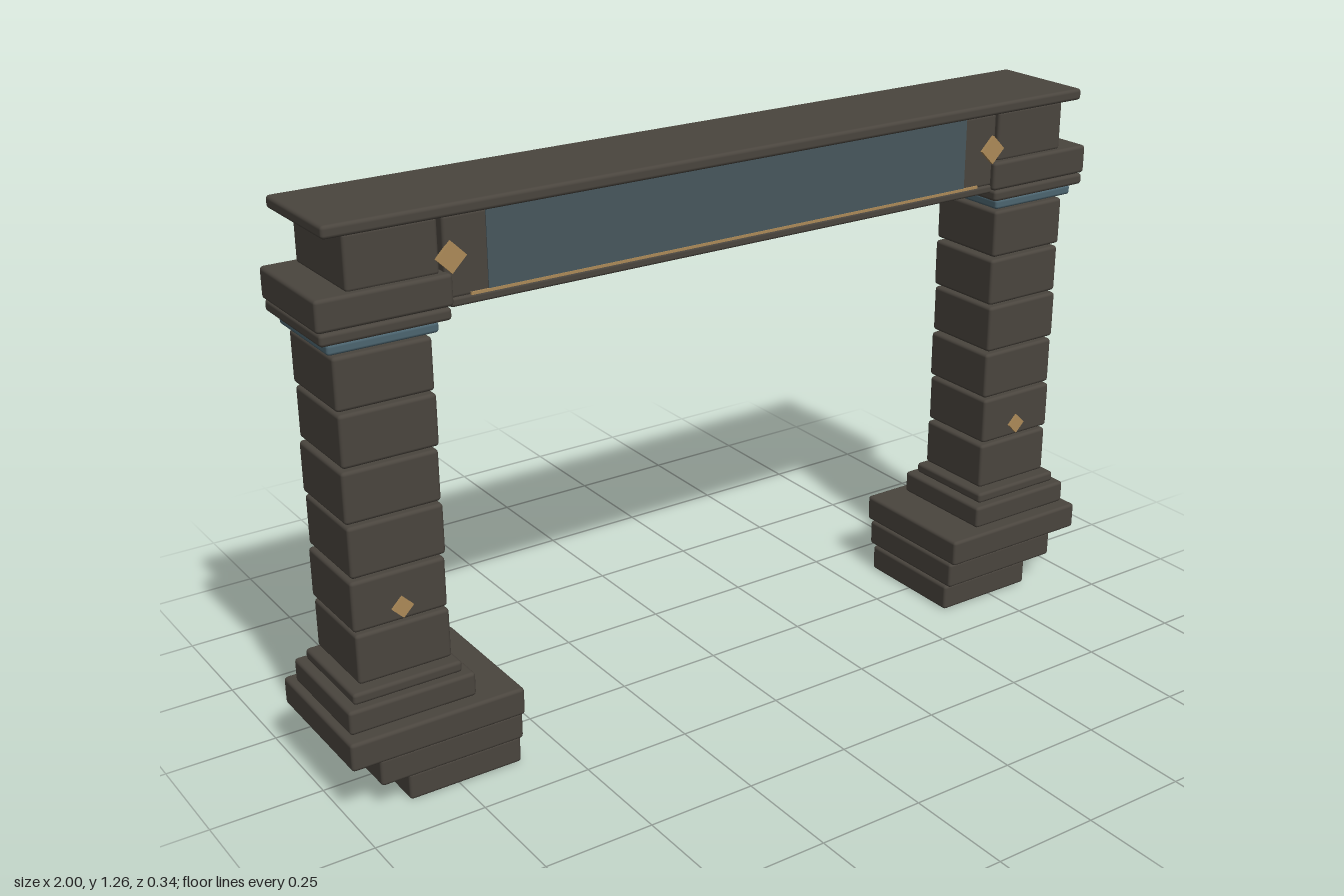
import * as THREE from 'three';
import { RoundedBoxGeometry } from 'three/addons/geometries/RoundedBoxGeometry.js';

const material = (name, color) => {
  const m = new THREE.MeshStandardMaterial({ color });
  m.name = name;
  return m;
};

export function createModel() {
  const stone = material('dark stone', 0x4a453e);
  const slate = material('blue slate', 0x47575d);
  const ring = material('blue trim', 0x4c6570);
  const gold = material('old gold', 0xac8a58);
  const model = new THREE.Group();
  model.name = 'gateway';

  const add = (parent, name, geometry, mat, x, y, z) => {
    const mesh = new THREE.Mesh(geometry, mat);
    mesh.name = name;
    mesh.position.set(x, y, z);
    parent.add(mesh);
    return mesh;
  };
  // Softly bevelled block given by its x range, y range and half depth
  const block = (parent, name, x0, x1, y0, y1, depth, mat = stone) => {
    const r = Math.min(0.008, (y1 - y0) * 0.3);
    const geometry = new RoundedBoxGeometry(x1 - x0, y1 - y0, depth * 2, 2, r);
    return add(parent, name, geometry, mat, (x0 + x1) / 2, (y0 + y1) / 2, 0);
  };
  // Diamond stud, a small square plate turned on its corner
  const stud = (parent, name, x, y, z, halfDiagonal) => {
    const side = halfDiagonal * Math.SQRT2;
    const mesh = add(parent, name, new THREE.BoxGeometry(side, side, 0.009), gold, x, y, z);
    mesh.rotation.z = Math.PI / 4;
  };

  for (const side of [-1, 1]) {
    const post = new THREE.Group();
    post.name = side > 0 ? 'leftPost' : 'rightPost';
    model.add(post);
    const part = (name, inner, outer, y0, y1, depth, mat) =>
      block(post, name, Math.min(side * inner, side * outer),
        Math.max(side * inner, side * outer), y0, y1, depth, mat);

    // Stepped footing, widening outwards as it rises
    part('footingBottom', 0.6, 0.865, 0, 0.064, 0.141);
    part('footingMiddle', 0.6, 0.933, 0.066, 0.13, 0.155);
    part('footingTop', 0.6, 1, 0.131, 0.195, 0.168);
    part('plinth', 0.697, 0.985, 0.195, 0.25, 0.137);
    part('plinthMoulding', 0.718, 0.965, 0.25, 0.276, 0.119);

    // Shaft of separate stones, each shifted a little
    for (let i = 0; i < 6; i++) {
      const shift = i % 2 ? 0.002 : -0.001;
      const y = 0.283 + i * 0.1195;
      part('shaftStone', 0.733 + shift, 0.944 + shift, y, y + 0.113, 0.102);
    }

    // Capital
    part('capitalRing', 0.724, 0.96, 1.003, 1.026, 0.113, ring);
    part('capitalMoulding', 0.703, 0.98, 1.029, 1.055, 0.13);
    part('capitalBlock', 0.697, 0.985, 1.056, 1.123, 0.13);
    part('bearingBlock', 0.717, 0.914, 1.12, 1.237, 0.115);

    for (const face of [-1, 1]) {
      stud(post, 'shaftStud', side * 0.838, 0.434, face * 0.104, 0.024);
      stud(model, 'lintelStud', side * 0.695, 1.153, face * 0.119, 0.033);
    }
  }

  // Lintel spanning the posts
  block(model, 'lintelBeam', -0.708, 0.708, 1.066, 1.237, 0.116);
  block(model, 'lintelSoffit', -0.7, 0.7, 1.05, 1.069, 0.12);
  block(model, 'coping', -0.96, 0.96, 1.235, 1.262, 0.129);

  // Inlaid panels and thin gold lines on both faces
  for (const face of [-1, 1]) {
    add(model, 'lintelPanel', new THREE.BoxGeometry(1.23, 0.16, 0.004), slate, 0, 1.154, face * 0.116);
    add(model, 'goldLine', new THREE.BoxGeometry(1.31, 0.006, 0.006), gold, 0, 1.071, face * 0.117);
  }
  return model;
}
